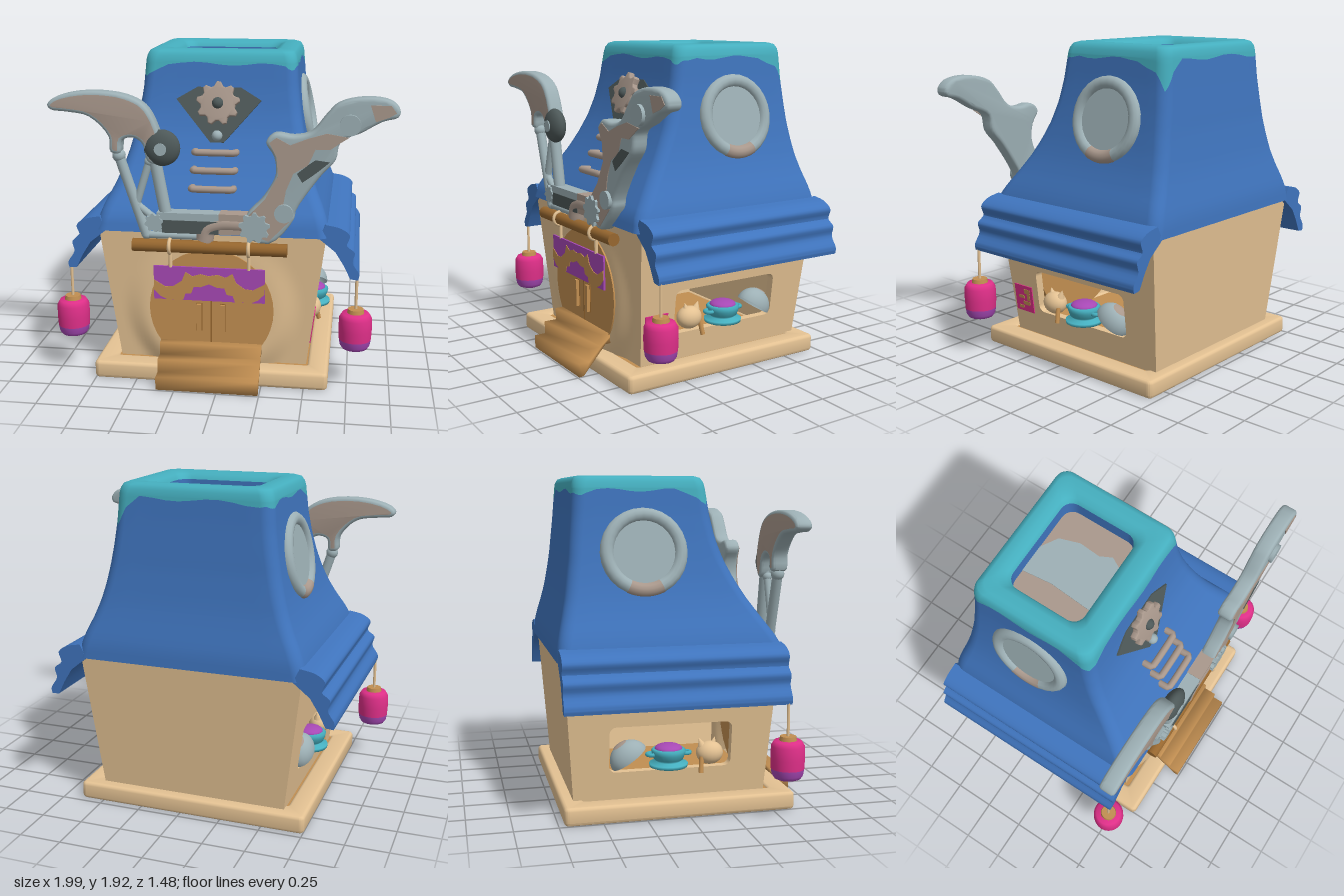
import * as THREE from 'three';
import { toCreasedNormals } from 'three/addons/utils/BufferGeometryUtils.js';

const mat = (name, color, side = THREE.FrontSide) => {
  const m = new THREE.MeshStandardMaterial({ color, side });
  m.name = name;
  return m;
};
const V = (x, y, z) => new THREE.Vector3(x, y, z);
const CX = -0.057; // middle of the house in x

export function createModel() {
  const root = new THREE.Group();
  const plaster = mat('plaster', 0xe4c293, THREE.DoubleSide), blue = mat('blue roof', 0x3f74bd, THREE.DoubleSide);
  const teal = mat('teal', 0x45afbf), steel = mat('steel', 0x9db0b5, THREE.DoubleSide);
  const taupe = mat('rusty metal', 0xa9988c), dark = mat('dark metal', 0x4d5858);
  const wood = mat('wood', 0xc18e51), brown = mat('dark wood', 0x97672f);
  const pink = mat('pink', 0xde2f88, THREE.DoubleSide), purple = mat('purple', 0xa748b5, THREE.DoubleSide);

  const add = (name, geo, m, x = 0, y = 0, z = 0, parent = root) => {
    const mesh = new THREE.Mesh(geo, m);
    mesh.name = name;
    mesh.position.set(x, y, z);
    parent.add(mesh);
    return mesh;
  };
  const box = (w, h, d) => new THREE.BoxGeometry(w, h, d);
  const disc = (r, d, n = 28) => new THREE.CylinderGeometry(r, r, d, n).rotateX(Math.PI / 2);
  const poly = (pts) => new THREE.Shape(pts.map(([x, y]) => new THREE.Vector2(x, y)));
  const smooth = (pts) => new THREE.Shape(new THREE.CatmullRomCurve3(pts.map(([x, y]) => V(x, y, 0)), true)
    .getPoints(pts.length * 4).slice(0, -1).map((p) => new THREE.Vector2(p.x, p.y)));
  const plate = (shape, depth, bevel = 0, crease = 0.7) => toCreasedNormals(new THREE.ExtrudeGeometry(shape, {
    depth, bevelEnabled: bevel > 0, bevelThickness: bevel, bevelSize: bevel, bevelOffset: -bevel, bevelSegments: 3 }), crease);
  const rod = (name, a, b, r, m, parent = root) => {
    const d = b.clone().sub(a), mesh = add(name, new THREE.CylinderGeometry(r, r, d.length(), 14), m, 0, 0, 0, parent);
    mesh.position.copy(a).addScaledVector(d, 0.5);
    mesh.quaternion.setFromUnitVectors(V(0, 1, 0), d.normalize());
    return mesh;
  };
  const roundRect = (P, x0, y0, x1, y1, r) => {
    const p = new P();
    p.moveTo(x0 + r, y0).lineTo(x1 - r, y0);
    p.absarc(x1 - r, y0 + r, r, -Math.PI / 2, 0).absarc(x1 - r, y1 - r, r, 0, Math.PI / 2);
    p.absarc(x0 + r, y1 - r, r, Math.PI / 2, Math.PI).absarc(x0 + r, y0 + r, r, Math.PI, Math.PI * 1.5);
    return p;
  };
  const gear = (r, n) => poly(Array.from({ length: n * 4 }, (_, i) => {
    const a = (i + 0.5) / (n * 4) * Math.PI * 2, q = i % 4 < 2 ? r : r * 0.8;
    return [Math.cos(a) * q, Math.sin(a) * q];
  }));

  // Plinth: stepped hollow frame with a recessed floor
  const frame = roundRect(THREE.Shape, -0.757, -0.63, 0.64, 0.72, 0.03);
  frame.holes.push(roundRect(THREE.Path, -0.63, -0.5, 0.515, 0.59, 0.01));
  add('plinth', plate(frame, 0.065, 0.02).rotateX(-Math.PI / 2), plaster, 0, 0.02, 0);
  const inner = roundRect(THREE.Shape, -0.64, -0.51, 0.525, 0.6, 0.01);
  inner.holes.push(roundRect(THREE.Path, -0.57, -0.44, 0.455, 0.53, 0.01));
  add('plinthInnerFrame', plate(inner, 0.05).rotateX(-Math.PI / 2), plaster, 0, 0.025, 0);
  add('floor', box(1.16, 0.04, 1.1), wood, CX, 0.075, -0.045);

  // Tapered walls: the front swells out around the door, the sides have window openings
  const hw = (y) => 0.565 + 0.125 * (y - 0.1);
  const zFront = (y) => 0.478 + 0.065 * (y - 0.1), zBack = (y) => -0.653 - 0.07 * (y - 0.1);
  const front = new THREE.PlaneGeometry(2, 0.84, 48, 30).translate(0, 0.51, 0), fp = front.attributes.position;
  for (let i = 0; i < fp.count; i++) {
    const y = fp.getY(i), x = fp.getX(i) * hw(y);
    const t = 1 - THREE.MathUtils.smoothstep(Math.hypot(x, y - 0.44), 0.38, 0.54);
    fp.setXYZ(i, x, y, THREE.MathUtils.lerp(zFront(y), 0.53, t));
  }
  front.computeVertexNormals();
  add('frontWall', front, plaster, CX);
  const back = plate(poly([[-hw(0.09), 0.09], [hw(0.09), 0.09], [hw(0.93), 0.93], [-hw(0.93), 0.93]]), 0.05);
  const bp = back.attributes.position;
  for (let i = 0; i < bp.count; i++) bp.setZ(i, bp.getZ(i) + zBack(bp.getY(i)));
  back.computeVertexNormals();
  add('backWall', back, plaster, CX);
  for (const s of [1, -1]) {
    const ends = [[zFront(0.09), 0.09], [zFront(0.93), 0.93], [zBack(0.93), 0.93], [zBack(0.09), 0.09]];
    const sh = poly(ends.map(([z, y]) => [-s * z, y]));
    const [a, b] = s > 0 ? [-0.267, 0.45] : [-0.45, 0.267];
    sh.holes.push(roundRect(THREE.Path, a, 0.26, b, 0.53, 0.04));
    const g = plate(sh, 0.05), p = g.attributes.position;
    for (let i = 0; i < p.count; i++)
      p.setXYZ(i, s * (hw(p.getY(i)) - 0.05 + p.getZ(i)), p.getY(i), -s * p.getX(i));
    g.computeVertexNormals();
    add('sideWall', g, plaster, CX);
  }

  // Roof: rounded rectangles following a flared profile [y, half width, front, back]
  const prof = [[0.91, 0.69, 0.56, -0.74], [1, 0.668, 0.54, -0.735], [1.07, 0.64, 0.49, -0.72], [1.14, 0.605, 0.44, -0.702],
    [1.24, 0.565, 0.37, -0.68], [1.34, 0.535, 0.31, -0.665], [1.45, 0.51, 0.253, -0.65], [1.57, 0.488, 0.21, -0.64],
    [1.7, 0.47, 0.18, -0.628], [1.86, 0.457, 0.155, -0.617]];
  const at = (y) => {
    const k = Math.max(1, prof.findIndex((r) => r[0] >= y - 1e-6));
    const t = (y - prof[k - 1][0]) / (prof[k][0] - prof[k - 1][0]);
    return prof[k].map((v, i) => THREE.MathUtils.lerp(prof[k - 1][i], v, t));
  };
  const ring = ([y, h, f, b]) => {
    const pts = [], r = 0.07;
    const corner = (c, a) => V((c % 3 === 0 ? h - r : r - h) + r * Math.cos(a), y, (c < 2 ? f - r : b + r) + r * Math.sin(a));
    for (let c = 0; c < 4; c++) {
      for (let k = 0; k <= 6; k++) pts.push(corner(c, (c + k / 6) * Math.PI / 2));
      const e = (c + 1) * Math.PI / 2;
      for (let k = 1; k < 10; k++) pts.push(corner(c, e).lerp(corner((c + 1) % 4, e), k / 10));
    }
    return pts;
  };
  const loft = (rows) => {
    const n = rows[0].length, idx = [];
    for (let j = 0; j < rows.length - 1; j++) for (let i = 0; i < n; i++) {
      const a = j * n + i, b = j * n + (i + 1) % n;
      idx.push(a, a + n, b, b, a + n, b + n);
    }
    const g = new THREE.BufferGeometry().setFromPoints(rows.flat());
    g.setIndex(idx);
    g.computeVertexNormals();
    return g;
  };
  const N = 64; // points per ring, 16 per corner and edge
  const drip = Array.from({ length: N }, (_, i) => {
    const c = Math.floor(i / 16), off = Math.abs((i % 16) - 3);
    return 1.845 + 0.01 * Math.sin(i * 1.1) - [0.03, 0.09, 0.03, 0.16][c] * Math.max(0, 1 - off / 5);
  });
  const band = (lo, hi, n) => Array.from({ length: n + 1 }, (_, j) => Array.from({ length: N }, (_, i) =>
    ring(at(THREE.MathUtils.lerp(lo(i), hi(i), j / n)))[i]));
  add('roof', loft(band(() => 0.91, (i) => drip[i], 22)), blue, CX);
  const lip = [[1.89, 0.45, 0.148, -0.613], [1.915, 0.436, 0.132, -0.6], [1.925, 0.41, 0.105, -0.575],
    [1.925, 0.35, 0.035, -0.53], [1.91, 0.315, 0, -0.495], [1.88, 0.3, -0.016, -0.48]].map(ring);
  add('roofRim', loft([...band((i) => drip[i], () => 1.86, 4), ...lip]), teal, CX);
  add('skylightWell', loft([ring([1.88, 0.3, -0.016, -0.48]), ring([1.77, 0.3, -0.016, -0.48])]), blue, CX);
  add('skylightFloor', box(0.6, 0.02, 0.464), taupe, CX, 1.77, -0.248);
  add('skylightPatch', plate(poly([[-0.22, 0.02], [-0.2, 0.3], [-0.22, 0.48], [-0.05, 0.48], [0.05, 0.42], [0.09, 0.3],
    [0.08, 0.17], [0.115, 0.1], [0.07, 0.02]]), 0.004).rotateX(-Math.PI / 2), steel, 0, 1.781, 0);
  add('eaves', box(1.33, 0.02, 1.25), blue, CX, 0.92, -0.09);

  // Wavy awnings and hanging lanterns on both sides
  const wave = new THREE.CatmullRomCurve3([[0.66, 0.99], [0.75, 0.97], [0.8, 0.93], [0.785, 0.87], [0.83, 0.83], [0.82, 0.77],
    [0.86, 0.7], [0.855, 0.665]].map(([x, y]) => V(x, y, 0))).getPoints(28).map((p) => [p.x, p.y]);
  const lathe = (pts) => new THREE.LatheGeometry(pts.map(([x, y]) => new THREE.Vector2(x, y)), 24);
  for (const s of [1, -1]) {
    const outline = [...wave, [0.81, 0.67], [0.77, 0.75], [0.72, 0.83], [0.62, 0.91]].map(([x, y]) => [s * x, y]);
    add('awning', plate(poly(outline), 1.275), blue, CX, 0, -0.735);
    const lx = CX + s * 0.848;
    add('lanternCord', new THREE.CylinderGeometry(0.009, 0.009, 0.2, 8), plaster, lx, 0.58, 0.52);
    add('lanternCap', new THREE.CylinderGeometry(0.045, 0.05, 0.025, 20), wood, lx, 0.472, 0.52);
    add('lanternBody', lathe([[0.094, 0.3], [0.097, 0.36], [0.095, 0.43], [0.078, 0.458], [0.03, 0.463]]), pink, lx, 0, 0.52);
    add('lanternBase', lathe([[0, 0.24], [0.05, 0.235], [0.075, 0.245], [0.088, 0.265], [0.094, 0.3]]), purple, lx, 0, 0.52);

    // Round roof window
    const win = new THREE.Group();
    win.name = 'roundWindow';
    win.position.set(CX + s * 0.5, 1.5, -0.225);
    win.rotation.z = s * 0.19;
    root.add(win);
    add('windowRing', new THREE.TorusGeometry(0.213, 0.04, 12, 28).rotateY(Math.PI / 2), steel, 0, 0, 0, win);
    add('windowGlass', new THREE.CylinderGeometry(0.19, 0.19, 0.03, 28).rotateZ(Math.PI / 2), steel, 0, 0, 0, win);
    add('windowRust', new THREE.TorusGeometry(0.213, 0.042, 12, 10, 0.9).rotateZ(-2.02).rotateY(Math.PI / 2), taupe, 0, 0, 0, win);

    // Goods in the side window: cat head, pot and bowl
    const goods = new THREE.Group();
    goods.name = 'windowGoods';
    goods.position.set(CX + s * 0.57, 0.345, 0);
    root.add(goods);
    add('catHead', new THREE.SphereGeometry(0.08, 20, 14), plaster, 0, -0.005, 0.145, goods).scale.set(0.8, 0.85, 1);
    for (const dz of [-0.045, 0.035])
      add('catEar', new THREE.ConeGeometry(0.026, 0.05, 8), plaster, 0, 0.062, 0.135 + dz, goods).rotation.x = dz * 8;
    rod('catTail', V(s * 0.03, -0.02, 0.09), V(s * 0.05, -0.11, 0.08), 0.014, wood, goods);
    add('pot', lathe([[0, -0.07], [0.11, -0.068], [0.112, -0.05], [0.065, -0.042], [0.085, -0.025], [0.096, 0.005],
      [0.1, 0.025], [0.09, 0.035], [0, 0.036]]), teal, 0, 0, -0.1, goods);
    add('potLid', new THREE.SphereGeometry(0.08, 18, 8, 0, Math.PI * 2, 0, Math.PI / 2), purple, 0, 0.034, -0.1, goods).scale.y = 0.38;
    for (const dz of [-0.1, 0.1])
      add('potHandle', new THREE.TorusGeometry(0.026, 0.012, 8, 14).rotateX(Math.PI / 2), teal, 0, 0.005, -0.1 + dz, goods);
    const bowl = add('bowl', new THREE.SphereGeometry(0.115, 20, 10, 0, Math.PI * 2, 0, Math.PI / 2), steel, 0, -0.01, -0.33, goods);
    bowl.scale.set(0.75, 0.9, 1);
    bowl.rotation.x = -0.6;
    add('bowlRust', new THREE.SphereGeometry(0.118, 16, 4, 0, Math.PI * 2, 0, 0.4), taupe, 0, 0, 0, bowl);
  }

  // Poster on one side wall
  const poster = add('poster', box(0.008, 0.175, 0.153), pink, CX + hw(0.318) + 0.002, 0.318, 0.393);
  poster.rotation.z = -0.124;
  for (const [y, z, h, w] of [[0.05, -0.03, 0.03, 0.05], [0.01, 0.02, 0.02, 0.05], [0.015, -0.04, 0.05, 0.025],
    [-0.03, -0.02, 0.025, 0.06], [-0.06, 0.03, 0.02, 0.04]])
    add('posterMark', box(0.003, h, w), wood, 0.005, y, z, poster);

  // Round double door, handles and soft-edged steps
  add('door', disc(0.37, 0.05, 40), wood, CX, 0.44, 0.515);
  add('doorSeam', box(0.008, 0.43, 0.004), brown, CX, 0.45, 0.541);
  for (const dx of [-0.07, 0.07]) {
    add('doorHandleEdge', box(0.034, 0.175, 0.006), brown, CX + dx, 0.393, 0.542);
    add('doorHandle', box(0.026, 0.167, 0.03), wood, CX + dx, 0.393, 0.55);
  }
  add('steps', plate(poly([[0.74, 0], [0.74, 0.08], [0.67, 0.08], [0.67, 0.16], [0.59, 0.16], [0.59, 0.235], [0.5, 0.235],
    [0.5, 0.17], [0.56, 0.17], [0.71, 0]].map(([z, y]) => [-z, y])), 0.603, 0, 1.7).rotateY(Math.PI / 2), wood, -0.36);

  // Banner hanging from a pole
  rod('bannerPole', V(-0.51, 0.84, 0.58), V(0.39, 0.84, 0.58), 0.038, brown);
  for (const x of [-0.29, 0.17]) {
    add('bannerLoop', new THREE.TorusGeometry(0.042, 0.011, 8, 18).rotateY(Math.PI / 2), plaster, x, 0.84, 0.58);
    rod('bannerCord', V(x, 0.81, 0.575), V(x, 0.71, 0.575), 0.011, plaster);
  }
  add('banner', box(0.655, 0.205, 0.012), purple, -0.0625, 0.6125, 0.575);
  const top = [[0, 0.665], [0.05, 0.675], [0.098, 0.66], [0.138, 0.685], [0.16, 0.63], [0.21, 0.595], [0.26, 0.59], [0.327, 0.63]];
  const low = [[0.327, 0.57], [0.29, 0.53], [0.25, 0.512], [0.153, 0.512], [0.14, 0.55], [0.105, 0.555], [0.09, 0.595],
    [0.05, 0.595], [0, 0.615]];
  const half = [...top, ...low];
  add('bannerSun', plate(poly([...half, ...half.slice(1, -1).reverse().map(([x, y]) => [-x, y])]), 0.004), wood, -0.0625, 0, 0.581);

  // Front roof ornament: fan plate with a gear
  const crest = new THREE.Group();
  crest.name = 'gearCrest';
  crest.position.set(CX, 1.565, 0.222);
  crest.rotation.x = -0.32;
  root.add(crest);
  add('fanPlate', plate(poly([[-0.255, 0.075], [-0.13, 0.15], [0.13, 0.15], [0.255, 0.075], [0.04, -0.18], [-0.04, -0.18]]), 0.01), dark, 0, 0, 0, crest);
  add('crestGear', plate(gear(0.13, 9), 0.025, 0.008), taupe, 0, 0.05, 0.015, crest);
  add('crestHub', new THREE.SphereGeometry(0.035, 16, 12), dark, 0, 0.05, 0.04, crest);
  add('crestKnob', new THREE.SphereGeometry(0.032, 16, 12), steel, 0, -0.14, 0.015, crest);

  // Ladder rungs
  for (const [y, z] of [[1.35, 0.36], [1.255, 0.42], [1.16, 0.485]]) {
    const path = new THREE.CatmullRomCurve3([V(-0.18, y - 0.01, z - 0.09), V(-0.18, y, z - 0.01), V(-0.15, y, z),
      V(0.03, y, z), V(0.06, y, z - 0.01), V(0.06, y - 0.01, z - 0.09)], false, 'catmullrom', 0.3);
    add('rung', new THREE.TubeGeometry(path, 30, 0.021, 10), taupe);
  }

  // Mechanical arm on the right: fin, ball joint and struts
  const Z = 0.563;
  add('rightFin', plate(smooth([[-0.98, 1.65], [-0.96, 1.68], [-0.875, 1.715], [-0.715, 1.735], [-0.53, 1.715], [-0.42, 1.66],
    [-0.355, 1.55], [-0.325, 1.42], [-0.37, 1.33], [-0.41, 1.345], [-0.435, 1.44], [-0.485, 1.475], [-0.55, 1.46],
    [-0.565, 1.385], [-0.62, 1.39], [-0.63, 1.48], [-0.74, 1.59], [-0.875, 1.615], [-0.96, 1.625]]), 0.055, 0.02), [taupe, steel], 0, 0, 0.535);
  add('ballJoint', new THREE.SphereGeometry(0.105, 24, 16), dark, -0.325, 1.42, 0.582).scale.z = 0.52;
  add('ballHub', disc(0.035, 0.02), steel, -0.325, 1.42, 0.63);
  for (const [x0, y0, x1, y1, r] of [[-0.58, 1.365, -0.43, 0.9, 0.03], [-0.405, 1.335, -0.485, 1.08, 0.022],
    [-0.375, 1.365, -0.315, 1.03, 0.035], [-0.43, 0.9, -0.09, 0.9, 0.022], [-0.485, 1.08, -0.36, 0.98, 0.022]]) {
    rod('strut', V(x0, y0, Z), V(x1, y1, Z), r, steel);
    add('strutJoint', new THREE.SphereGeometry(r * 1.3, 14, 10), steel, x0, y0, Z);
  }
  add('smallGear', plate(gear(0.055, 8), 0.03), steel, -0.375, 0.985, 0.585);
  add('crossBeam', box(0.36, 0.115, 0.09), steel, -0.18, 0.988, 0.56);
  add('crossBeamInset', box(0.33, 0.075, 0.006), dark, -0.165, 0.965, 0.607);
  add('crossBeamEnd', box(0.18, 0.12, 0.094), taupe, 0.09, 0.988, 0.56);
  const elbow = new THREE.CatmullRomCurve3([V(-0.09, 0.88, Z), V(-0.07, 0.95, Z), V(0, 0.98, Z), V(0.2, 0.98, Z)]);
  add('elbow', new THREE.TubeGeometry(elbow, 24, 0.052, 14), taupe);

  // Mechanical arm on the left: fin with rust and dark panels
  add('leftFin', plate(smooth([[0.16, 1.05], [0.25, 1.15], [0.32, 1.285], [0.31, 1.39], [0.265, 1.47], [0.315, 1.52], [0.42, 1.51],
    [0.515, 1.535], [0.595, 1.63], [0.66, 1.695], [0.81, 1.73], [0.945, 1.71], [0.99, 1.66], [0.98, 1.625], [0.9, 1.6],
    [0.785, 1.535], [0.675, 1.48], [0.65, 1.38], [0.57, 1.285], [0.435, 1.08], [0.425, 1.03], [0.285, 0.88], [0.125, 0.945]]),
  0.055, 0.02), steel, 0, 0, 0.535);
  const panels = [
    ['rustPanel', taupe, [[0.165, 1.04], [0.265, 1.15], [0.335, 1.285], [0.325, 1.39], [0.285, 1.47], [0.325, 1.5], [0.4, 1.46],
      [0.5, 1.5], [0.6, 1.53], [0.72, 1.51], [0.66, 1.47], [0.62, 1.44], [0.54, 1.44], [0.5, 1.35], [0.42, 1.3], [0.38, 1.2],
      [0.36, 1.08], [0.4, 1.02], [0.285, 0.9], [0.14, 0.955]]],
    ['rustTip', taupe, [[0.83, 1.69], [0.94, 1.69], [0.97, 1.65], [0.93, 1.625], [0.86, 1.6]]],
    ['darkPanel', dark, [[0.44, 1.3], [0.5, 1.35], [0.54, 1.38], [0.62, 1.37], [0.55, 1.31], [0.47, 1.25]]]];
  for (const [name, m, pts] of panels) add(name, plate(poly(pts), 0.006), m, 0, 0, 0.608);
  add('armGear', plate(gear(0.09, 9), 0.025), steel, 0.205, 0.98, 0.605);
  add('armPivot', disc(0.053, 0.03), steel, 0.37, 1.07, 0.615);
  add('finPivot', disc(0.058, 0.03), steel, 0.725, 1.58, 0.615);
  return root;
}
